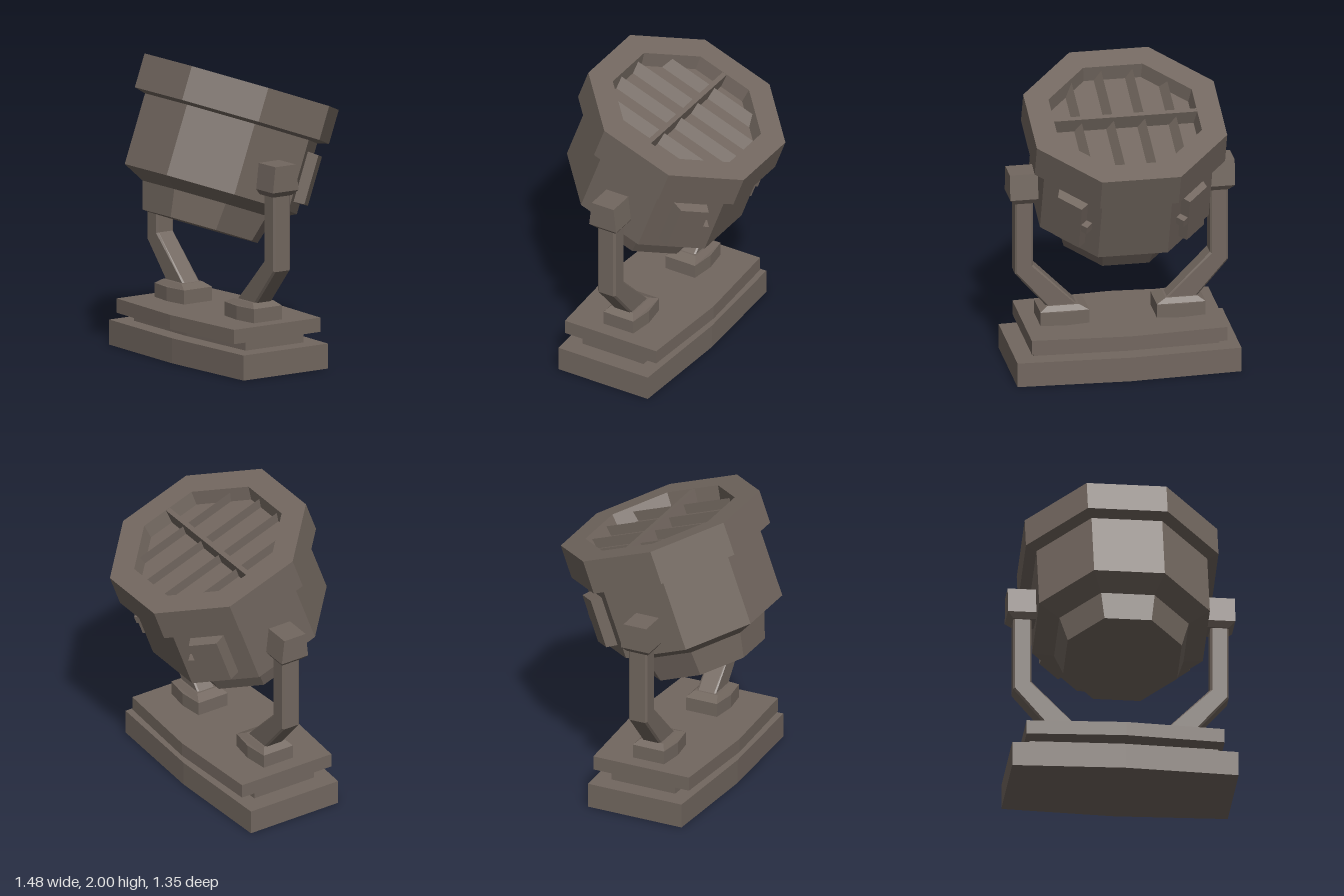
import * as THREE from 'three';

const housing = new THREE.MeshStandardMaterial({ color: 0x72675f });
housing.name = 'warm grey metal';

// Faceted mesh with hard edges
function part(name, geometry, parent) {
  const flat = geometry.index ? geometry.toNonIndexed() : geometry;
  flat.computeVertexNormals();
  const mesh = new THREE.Mesh(flat, housing);
  mesh.name = name;
  parent.add(mesh);
  return mesh;
}

// Six-sided block whose bottom and top rectangles are [x0, x1, z0, z1]
function taper(y0, bottom, y1, top) {
  const g = new THREE.BoxGeometry(1, 1, 1);
  const p = g.attributes.position;
  for (let i = 0; i < p.count; i++) {
    const up = p.getY(i) > 0;
    const r = up ? top : bottom;
    const x = p.getX(i) > 0 ? Math.max(r[0], r[1]) : Math.min(r[0], r[1]);
    p.setXYZ(i, x, up ? y1 : y0, p.getZ(i) > 0 ? r[3] : r[2]);
  }
  return g;
}

// Upright slab with front and back bowed out at the middle
function bowedSlab(halfX, midZ, endZ, y0, y1, cx, cz) {
  const shape = new THREE.Shape([
    [-halfX, -endZ], [0, -midZ], [halfX, -endZ],
    [halfX, endZ], [0, midZ], [-halfX, endZ],
  ].map(([x, y]) => new THREE.Vector2(x, y)));
  const g = new THREE.ExtrudeGeometry(shape, { depth: y1 - y0, bevelEnabled: false });
  return g.rotateX(-Math.PI / 2).translate(cx, y0, cz);
}

export function createModel() {
  const model = new THREE.Group();
  model.name = 'searchlight';

  // Stepped base
  part('baseBottom', bowedSlab(0.735, 0.373, 0.337, 0, 0.165, 0, 0.098), model);
  part('baseNeck', bowedSlab(0.612, 0.255, 0.23, 0.165, 0.226, 0, 0.098), model);
  part('baseTop', bowedSlab(0.643, 0.387, 0.345, 0.226, 0.32, 0, 0.098), model);

  // Yoke on both sides
  for (const s of [1, -1]) {
    const yoke = new THREE.Group();
    yoke.name = s > 0 ? 'leftYoke' : 'rightYoke';
    model.add(yoke);

    part('foot', bowedSlab(0.16, 0.133, 0.112, 0.32, 0.412, s * 0.382, 0.1), yoke);
    part('footCap', taper(0.412, [s * 0.222, s * 0.542, -0.012, 0.212],
      0.442, [s * 0.285, s * 0.495, 0.02, 0.185]), yoke);

    const outline = [[0.285, 0.43], [0.49, 0.43], [0.7, 0.675], [0.7, 1.2], [0.58, 1.2], [0.58, 0.73]];
    const armShape = new THREE.Shape(outline.map(([x, y]) => new THREE.Vector2(s * x, y)));
    part('arm', new THREE.ExtrudeGeometry(armShape, {
      depth: 0.11, bevelThickness: 0.012, bevelSize: 0.012, bevelOffset: -0.012, bevelSegments: 1,
    }).translate(0, 0, 0.043), yoke);

    part('pivotBlock', taper(1.205, [s * 0.5, s * 0.738, -0.002, 0.202],
      1.375, [s * 0.5, s * 0.738, 0.018, 0.182]), yoke);
    part('pivotBevel', taper(1.168, [s * 0.53, s * 0.7, 0.025, 0.175],
      1.205, [s * 0.5, s * 0.738, -0.002, 0.202]), yoke);
  }

  // Tilted lamp, origin at the lower edge of the drum
  const lamp = new THREE.Group();
  lamp.name = 'lamp';
  lamp.position.set(0, 1.11, 0.16);
  lamp.rotation.x = -Math.PI / 9;
  model.add(lamp);

  // Octagonal shell, radii measured to the flats
  const profile = [
    [0, -0.25], [0.37, -0.25], [0.42, -0.07], [0.554, 0], [0.554, 0.475],
    [0.625, 0.494], [0.625, 0.722], [0.47, 0.722], [0.452, 0.622], [0, 0.622],
  ].map(([r, y]) => new THREE.Vector2(r / Math.cos(Math.PI / 8), y));
  part('lampShell', new THREE.LatheGeometry(profile, 8, Math.PI / 8), lamp);

  // Wedge slats and the cross bar over the lens
  const wedge = new THREE.Shape([[-0.023, 0], [0.025, 0], [-0.023, 0.07]]
    .map(([x, y]) => new THREE.Vector2(x, y)));
  for (const x of [-0.312, -0.107, 0.098, 0.308]) {
    const half = Math.abs(x) > 0.2 ? 0.37 : 0.465;
    part('slat', new THREE.ExtrudeGeometry(wedge, { depth: half * 2, bevelEnabled: false })
      .translate(x, 0.62, -half), lamp);
  }
  part('crossBar', new THREE.BoxGeometry(0.94, 0.1, 0.032).translate(0, 0.67, 0), lamp);

  // Hatches with latches on the two rear diagonal faces
  for (const s of [1, -1]) {
    const hatch = new THREE.Group();
    hatch.name = s > 0 ? 'leftHatch' : 'rightHatch';
    hatch.position.y = 0.235;
    hatch.rotation.y = s * Math.PI * 0.75;
    lamp.add(hatch);
    part('hatchBox', taper(0.53, [s * -0.12, s * 0.12, -0.17, 0.17],
      0.622, [s * -0.07, s * 0.12, -0.165, 0.165]).rotateX(Math.PI / 2), hatch);
    part('latch', new THREE.BoxGeometry(0.05, 0.055, 0.06).translate(s * 0.14, 0, 0.585), hatch);
  }
  return model;
}
